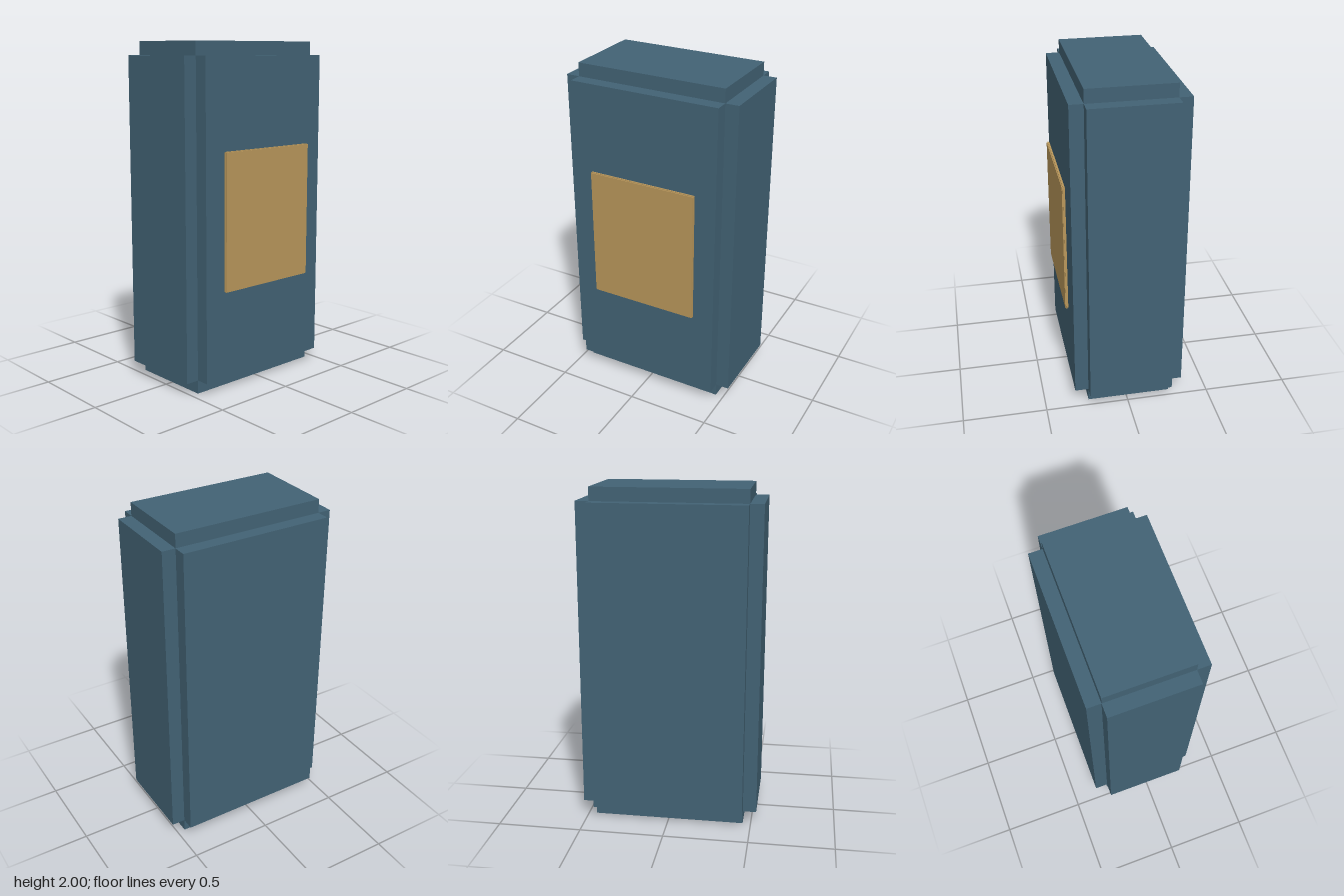
import * as THREE from 'three';

// Block whose edges are cut back by a square step: one box pushed out along each axis
function steppedBlock(name, size, step, color) {
  const group = new THREE.Group();
  group.name = name;
  const material = new THREE.MeshStandardMaterial({ color, flatShading: true });
  ['Sides', 'Ends', 'Faces'].forEach((part, axis) => {
    const dims = size.map((s, i) => (i === axis ? s : s - 2 * step));
    const mesh = new THREE.Mesh(new THREE.BoxGeometry(...dims), material);
    mesh.name = name + part;
    group.add(mesh);
  });
  return group;
}

export function createModel() {
  const model = new THREE.Group();
  model.name = 'cabinet';

  // Tall body with notched edges
  const body = steppedBlock('body', [1.064, 2, 0.664], 0.08, 0x426274);
  body.position.set(0, 1, -0.016);

  // Thin plate floating just off the front face
  const plate = steppedBlock('frontPlate', [0.664, 0.8, 0.018], 0.005, 0xb8965a);
  plate.position.set(0, 1, 0.337);

  model.add(body, plate);
  return model;
}
